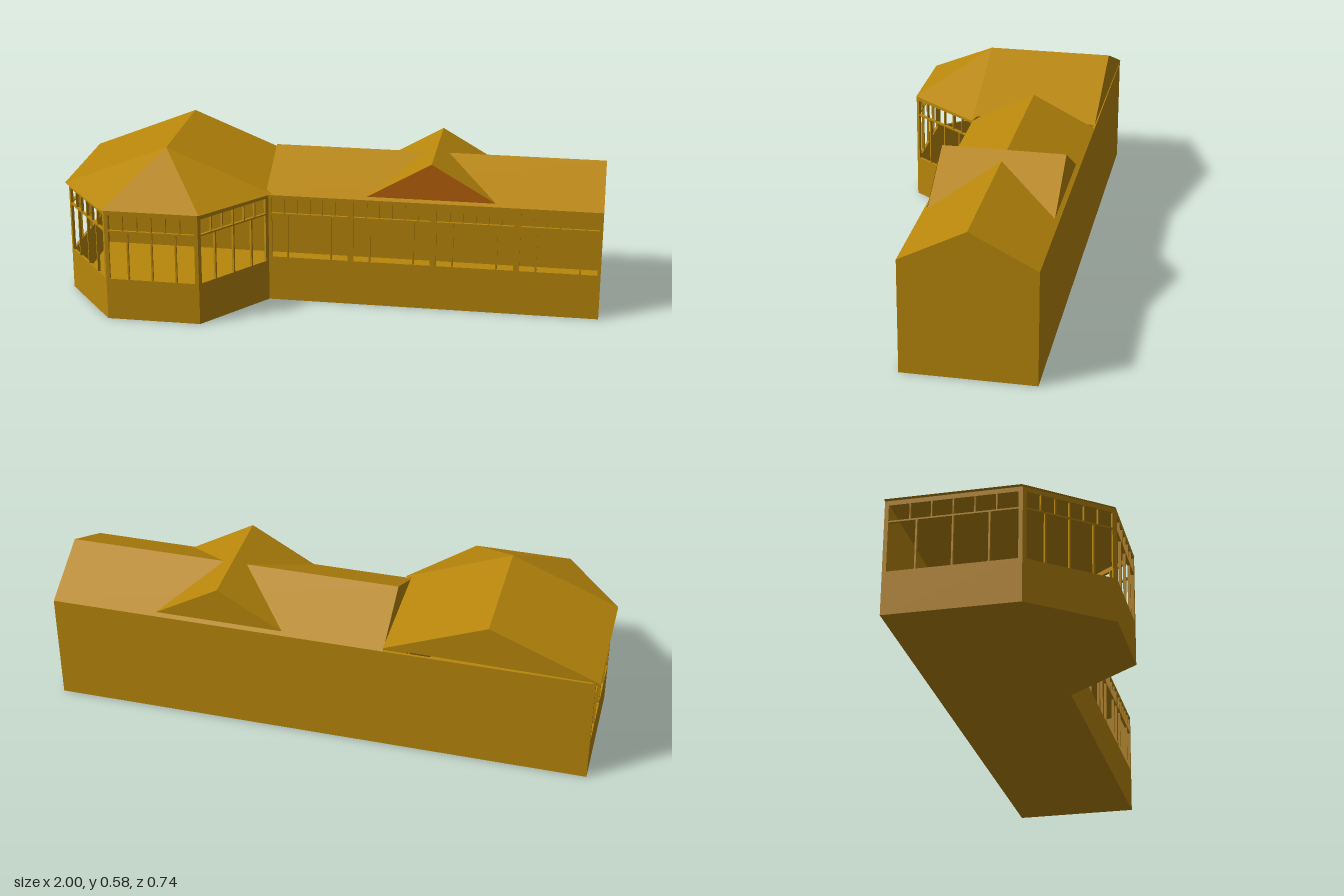
import * as THREE from 'three';

const gold = new THREE.MeshStandardMaterial({ color: 0xb8860b, flatShading: true, side: THREE.DoubleSide });
const rust = new THREE.MeshStandardMaterial({ color: 0xb8600b, flatShading: true, side: THREE.DoubleSide });
const T = 0.01; // wall thickness

const polygon = (pts) => new THREE.Shape(pts.map(([x, y]) => new THREE.Vector2(x, y)));
const rect = (x0, y0, x1, y1) => [[x0, y0], [x1, y0], [x1, y1], [x0, y1]];
const prism = (shape, depth) => new THREE.ExtrudeGeometry(shape, { depth, bevelEnabled: false });

export function createModel() {
  const model = new THREE.Group();
  const add = (name, geometry, material = gold) => {
    const mesh = new THREE.Mesh(geometry, material);
    mesh.name = name;
    model.add(mesh);
    return mesh;
  };

  // Wall from plan point a to b (outside on the right hand), with open window bays
  function wall(name, a, b, height, win) {
    const dx = b[0] - a[0], dz = b[1] - a[1], length = Math.hypot(dx, dz);
    const shape = polygon(rect(0, 0, length, height));
    const hole = (x0, x1, y0, y1) => shape.holes.push(polygon(rect(x0, y0, x1, y1).reverse()));
    if (win) {
      const bay = (length - 2 * win.edge + win.pier) / win.bays - win.pier;
      for (let i = 0; i < win.bays; i++) {
        const start = win.edge + i * (bay + win.pier);
        const row = (stops, y0, y1, bar) => {
          for (let k = 0; k < stops.length - 1; k++) {
            hole(start + stops[k] * bay + (k ? bar / 2 : 0),
              start + stops[k + 1] * bay - (k < stops.length - 2 ? bar / 2 : 0), y0, y1);
          }
        };
        row(win.mullions, win.sill, 0.339, 0.006); // main lights
        const small = Array.from({ length: win.lights + 1 }, (_, k) => k / win.lights);
        row(small, 0.345, 0.403, 0.004); // clerestory lights
      }
    }
    const geometry = prism(shape, T);
    geometry.translate(0, 0, -T);
    const mesh = add(name, geometry);
    mesh.position.set(a[0], 0, a[1]);
    mesh.rotation.y = Math.atan2(-dz, dx);
  }

  // Plan outline, starting at the back right corner
  const plan = [[-0.985, -0.37], [-0.985, 0.1], [-0.775, 0.37], [-0.43, 0.37], [-0.225, 0.1], [1, 0.1], [1, -0.37]];
  const bayWindow = { bays: 1, edge: 0.014, pier: 0, sill: 0.157, mullions: [0, 0.22, 0.5, 0.78, 1], lights: 6 };
  const wingWindow = { bays: 4, edge: 0.012, pier: 0.022, sill: 0.172, mullions: [0, 0.21, 0.78, 1], lights: 6 };
  wall('bayEndWall', plan[0], plan[1], 0.42, bayWindow);
  wall('bayRightWall', plan[1], plan[2], 0.42, bayWindow);
  wall('bayFrontWall', plan[2], plan[3], 0.42, bayWindow);
  wall('bayLeftWall', plan[3], plan[4], 0.42, bayWindow);
  wall('wingFrontWall', plan[4], plan[5], 0.415, wingWindow);
  wall('wingEndWall', plan[5], plan[6], 0.415);
  wall('backWall', plan[6], plan[0], 0.415);

  // Floor slab
  const floor = prism(polygon(plan.map(([x, z]) => [x, -z])), 0.005);
  floor.rotateX(-Math.PI / 2);
  add('floor', floor);

  // Gabled roof of the long wing
  const wingRoof = prism(polygon([[-0.1, 0.415], [0.37, 0.415], [0.135, 0.535]]), 1.235);
  wingRoof.rotateY(Math.PI / 2).translate(-0.235, 0, 0);
  add('wingRoof', wingRoof);

  // Cross gable with a coloured front pediment
  const gable = polygon([[0.14, 0.424], [0.61, 0.424], [0.375, 0.56]]);
  add('crossGable', prism(gable, 0.44).translate(0, 0, -0.355));
  add('pediment', new THREE.ShapeGeometry(gable).translate(0, 0, 0.0862), rust);

  // Bay roof: straight gable at the back, three hipped facets at the front
  const eave = [[-1, -0.37], [-1, 0.1], [-0.785, 0.37], [-0.425, 0.37], [-0.21, 0.1], [-0.235, 0.085], [-0.235, -0.37]]
    .map(([x, z]) => [x, x === -0.235 ? 0.43 : 0.42, z]);
  const back = [-0.605, 0.58, -0.37], apex = [-0.605, 0.58, 0.1];
  const faces = [
    [eave[0], eave[1], apex], [eave[0], apex, back],
    [eave[1], eave[2], apex], [eave[2], eave[3], apex], [eave[3], eave[4], apex],
    [eave[4], eave[5], apex], [eave[5], eave[6], back], [eave[5], back, apex],
    [eave[6], eave[0], back],
  ];
  for (let i = 1; i < 6; i++) faces.push([eave[0], eave[i + 1], eave[i]]); // soffit
  const bayRoof = new THREE.BufferGeometry();
  bayRoof.setAttribute('position', new THREE.Float32BufferAttribute(faces.flat(2), 3));
  bayRoof.computeVertexNormals();
  add('bayRoof', bayRoof);

  return model;
}
